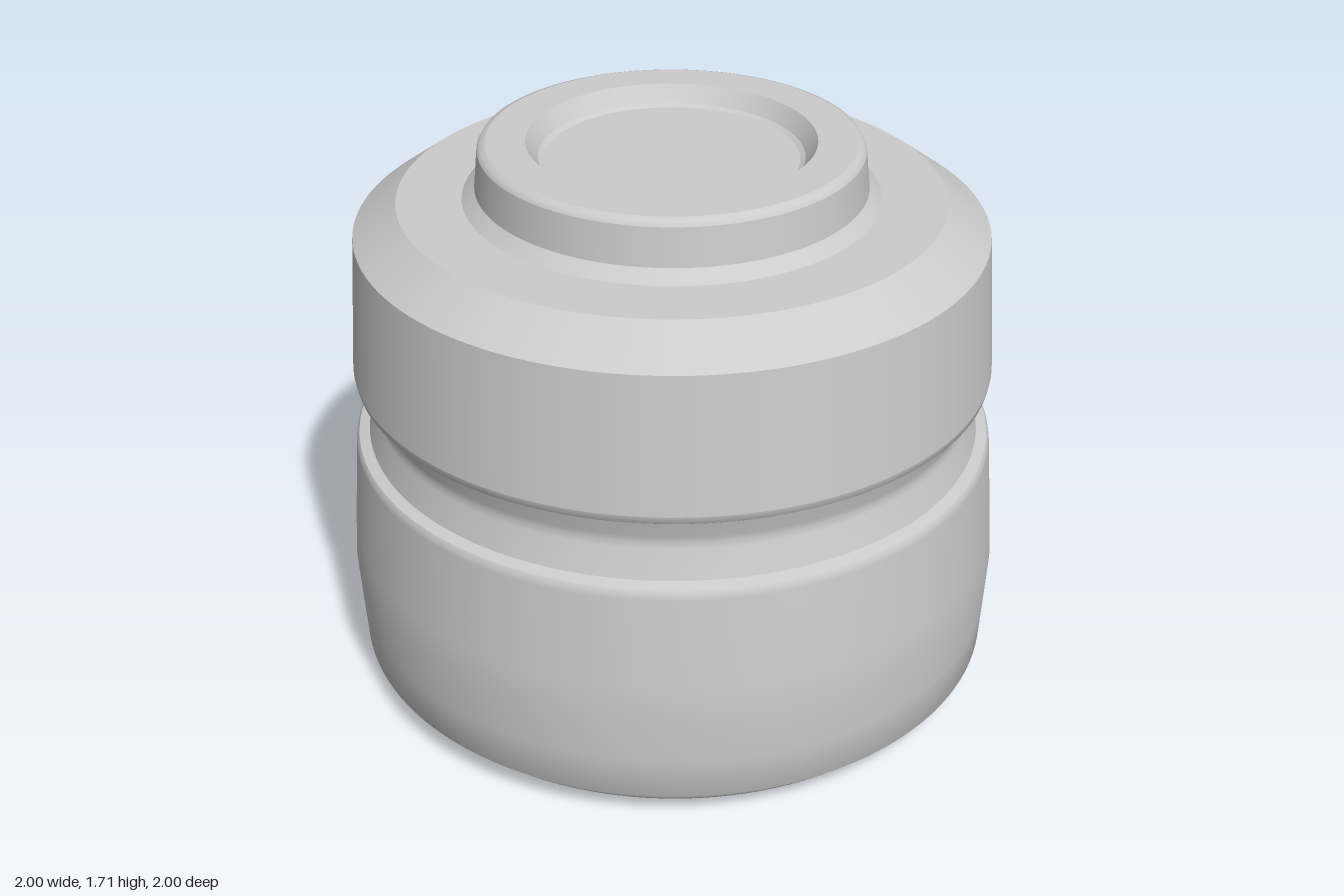
import * as THREE from 'three';
import { mergeGeometries } from 'three/addons/utils/BufferGeometryUtils.js';

const SEGMENTS = 128;
const material = new THREE.MeshStandardMaterial({ color: 0xcccccc });

// Each run is a smooth [radius, y] profile, bottom to top; edges between runs stay sharp.
function turnedPart(name, runs) {
  const bands = runs.map((run) =>
    new THREE.LatheGeometry(run.map(([r, y]) => new THREE.Vector2(r, y)), SEGMENTS));
  const geometry = mergeGeometries(bands);
  // The jar leans very slightly forward.
  const p = geometry.attributes.position;
  for (let i = 0; i < p.count; i++) {
    const y = p.getY(i), z = p.getZ(i);
    p.setZ(i, z + 0.008 * (y - 0.38));
    p.setY(i, y + 0.006 * z);
  }
  const mesh = new THREE.Mesh(geometry, material);
  mesh.name = name;
  return mesh;
}

export function createModel() {
  const group = new THREE.Group();
  group.name = 'jar';

  group.add(
    // Bulging lower body with a rounded foot and small shoulder
    turnedPart('body', [
      [[0, 0.008], [0.89, 0.008]],
      [[0.89, 0.008], [0.93, 0.035], [0.985, 0.09], [0.992, 0.22], [1.0, 0.38], [0.993, 0.48], [0.97, 0.765], [0.967, 0.782], [0.96, 0.793]],
      [[0.96, 0.793], [0.928, 0.803]],
    ]),
    // Pinched waist
    turnedPart('waist', [
      [[0.928, 0.803], [0.903, 0.89], [0.9, 0.91], [0.903, 0.93], [0.922, 1.0]],
    ]),
    // Tapered lid with a wide bevel
    turnedPart('lid', [
      [[0.922, 1.0], [0.945, 1.0]],
      [[0.945, 1.0], [0.956, 1.008], [0.96, 1.03]],
      [[0.96, 1.03], [0.93, 1.445]],
      [[0.93, 1.445], [0.8, 1.54]],
      [[0.8, 1.54], [0.61, 1.54]],
    ]),
    // Raised knob with flared base and bevelled rim
    turnedPart('knob', [
      [[0.61, 1.54], [0.572, 1.575]],
      [[0.572, 1.575], [0.56, 1.69]],
      [[0.56, 1.69], [0.552, 1.704], [0.535, 1.71]],
      [[0.535, 1.71], [0.42, 1.71]],
    ]),
    // Shallow dish in the knob
    turnedPart('dish', [
      [[0.42, 1.71], [0.385, 1.66]],
      [[0.385, 1.66], [0.37, 1.652]],
      [[0.37, 1.652], [0, 1.652]],
    ]),
  );
  return group;
}
